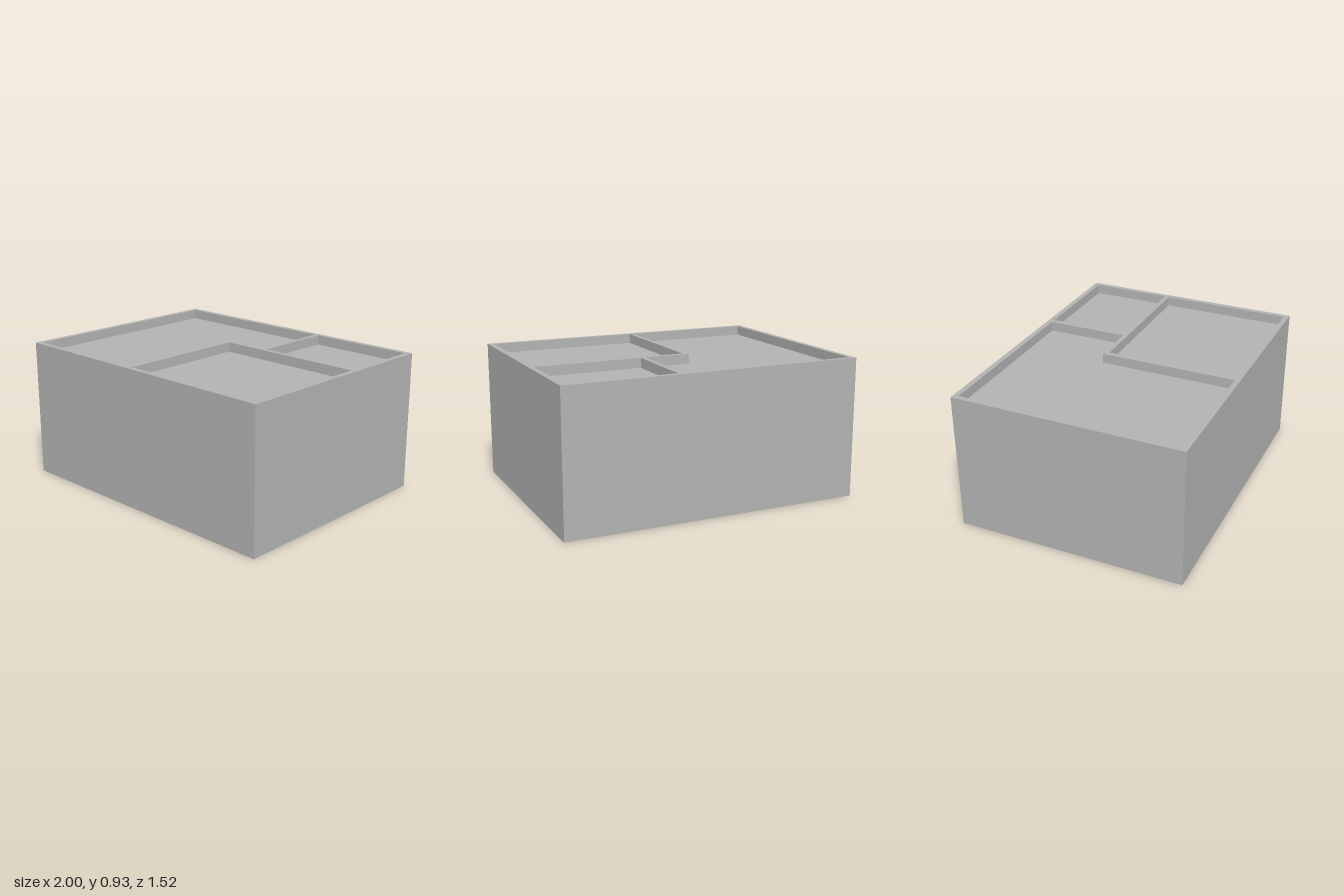
import * as THREE from 'three';

const HEIGHT = 0.93;
const DEPTH = 0.065; // depth of the recessed rooms
const HALF_X = 1, HALF_Z = 0.762;
const IN_X = 0.965, IN_Z = 0.727;

// Loops are [x, z] corners: front right, front left, back left, back right.
const rect = (x0, z0, x1, z1) => [[x0, z1], [x1, z1], [x1, z0], [x0, z0]];

// Horizontal face at height y, looking up or down, with optional holes.
function flatFace(loop, holes, y, up) {
  const s = up ? -1 : 1;
  const points = (l) => l.map(([x, z]) => new THREE.Vector2(x, s * z));
  const shape = new THREE.Shape(points(loop));
  shape.holes = holes.map((h) => new THREE.Path(points(h)));
  return new THREE.ShapeGeometry(shape).rotateX(s * Math.PI / 2).translate(0, y, 0);
}

// Vertical walls along a loop: outward if yB > yA, inward if yB < yA.
function wallStrip(loop, yA, yB) {
  const pos = [];
  loop.forEach(([x, z], i) => {
    const [nx, nz] = loop[(i + 1) % loop.length];
    pos.push(x, yA, z, nx, yA, nz, nx, yB, nz);
    pos.push(x, yA, z, nx, yB, nz, x, yB, z);
  });
  const geo = new THREE.BufferGeometry();
  geo.setAttribute('position', new THREE.Float32BufferAttribute(pos, 3));
  geo.computeVertexNormals();
  return geo;
}

export function createModel() {
  const model = new THREE.Group();
  model.name = 'dividedBlock';
  const grey = new THREE.MeshStandardMaterial({ color: 0xb2b2b2 });
  grey.name = 'plain grey';
  const add = (name, geo) => {
    const mesh = new THREE.Mesh(geo, grey);
    mesh.name = name;
    model.add(mesh);
  };

  const outline = rect(-HALF_X, -HALF_Z, HALF_X, HALF_Z);
  add('outerWalls', wallStrip(outline, 0, HEIGHT));

  // Rooms sunk into the top
  const topRooms = [
    rect(0.253, -IN_Z, IN_X, -0.182),
    rect(-0.057, -0.15, IN_X, IN_Z),
    [[-IN_X, IN_Z], [-0.09, IN_Z], [-0.09, -0.182], [0.22, -0.182], [0.22, -IN_Z], [-IN_X, -IN_Z]],
  ];
  // Rooms sunk into the underside, in a different layout
  const bottomRooms = [
    rect(-IN_X, -IN_Z, -0.253, -0.182),
    rect(-0.22, -IN_Z, IN_X, 0.03),
    [[-IN_X, IN_Z], [IN_X, IN_Z], [IN_X, 0.063], [-0.253, 0.063], [-0.253, -0.15], [-IN_X, -0.15]],
  ];

  add('topRim', flatFace(outline, topRooms, HEIGHT, true));
  for (const room of topRooms) {
    add('topRoomWalls', wallStrip(room, HEIGHT, HEIGHT - DEPTH));
    add('topRoomFloor', flatFace(room, [], HEIGHT - DEPTH, true));
  }

  add('bottomRim', flatFace(outline, bottomRooms, 0, false));
  for (const room of bottomRooms) {
    add('bottomRoomWalls', wallStrip(room, DEPTH, 0));
    add('bottomRoomCeiling', flatFace(room, [], DEPTH, false));
  }
  return model;
}
